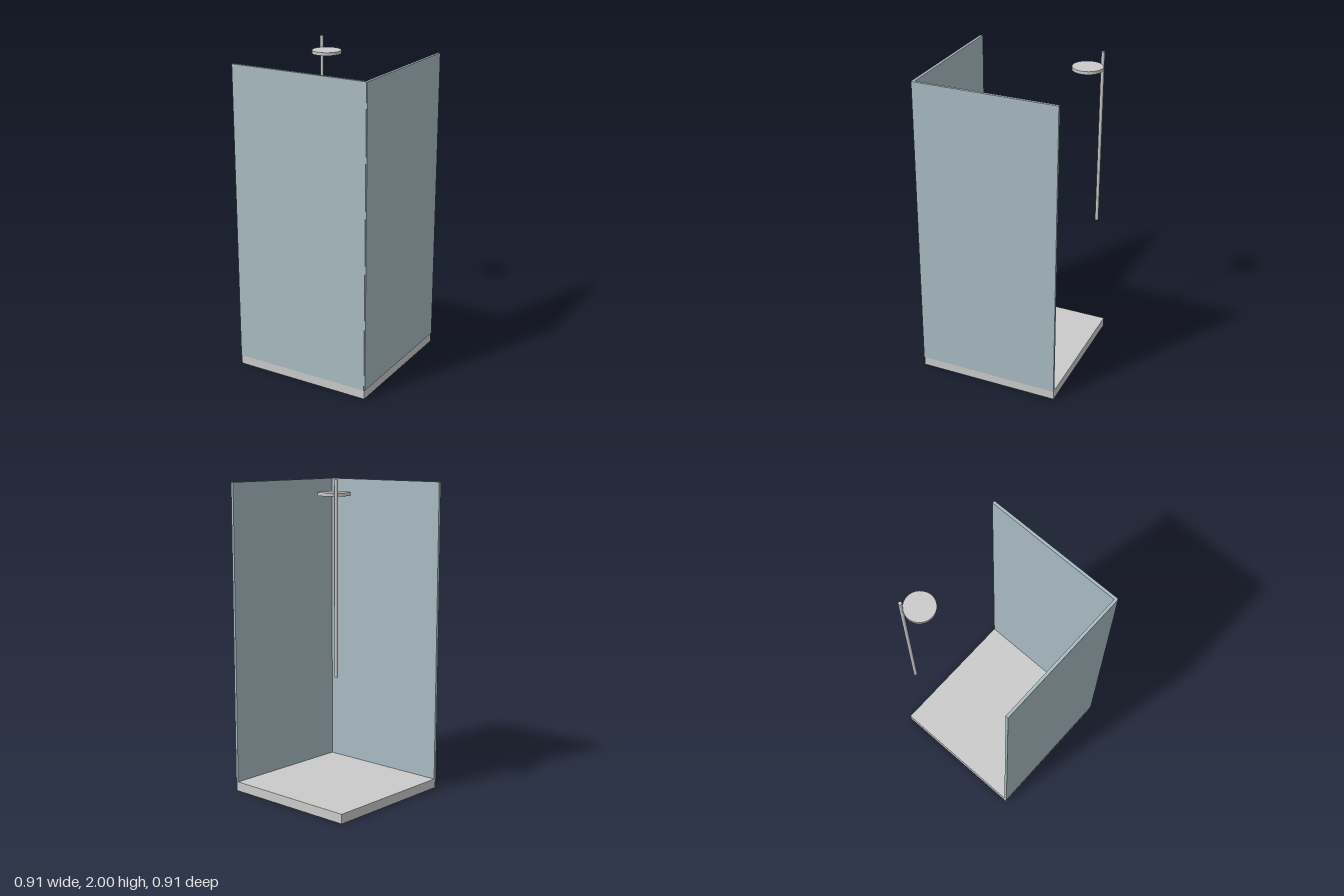
import * as THREE from 'three';

export function createModel() {
  const group = new THREE.Group();
  const grey = new THREE.MeshStandardMaterial({ name: 'lightGrey', color: 0xcacaca });
  const glass = new THREE.MeshStandardMaterial({ name: 'blueGlass', color: 0xa8bbc2 });

  const add = (name, geometry, material, x, y, z) => {
    const mesh = new THREE.Mesh(geometry, material);
    mesh.name = name;
    mesh.position.set(x, y, z);
    group.add(mesh);
  };

  // Square shower tray, set slightly back from the glass faces
  const trayHeight = 0.06, traySide = 0.905, inset = -0.0025;
  add('tray', new THREE.BoxGeometry(traySide, trayHeight, traySide), grey, inset, trayHeight / 2, inset);

  // Two glass panels standing on the front and left edges of the tray
  const thick = 0.018, top = 1.962, height = top - trayHeight;
  const midY = trayHeight + height / 2, edge = 0.455 - thick / 2;
  add('frontPanel', new THREE.BoxGeometry(traySide, height, thick), glass, inset, midY, edge);
  add('sidePanel', new THREE.BoxGeometry(thick, height, traySide), glass, edge, midY, inset);

  // Riser pipe in the back corner
  const pipeBottom = 0.862, pipeTop = 2;
  add('riserPipe', new THREE.CylinderGeometry(0.011, 0.011, pipeTop - pipeBottom, 16), grey,
    -0.367, (pipeTop + pipeBottom) / 2, -0.406);

  // Round rain head beside the pipe
  add('showerHead', new THREE.CylinderGeometry(0.095, 0.095, 0.02, 32), grey, -0.29, 1.914, -0.339);

  return group;
}
